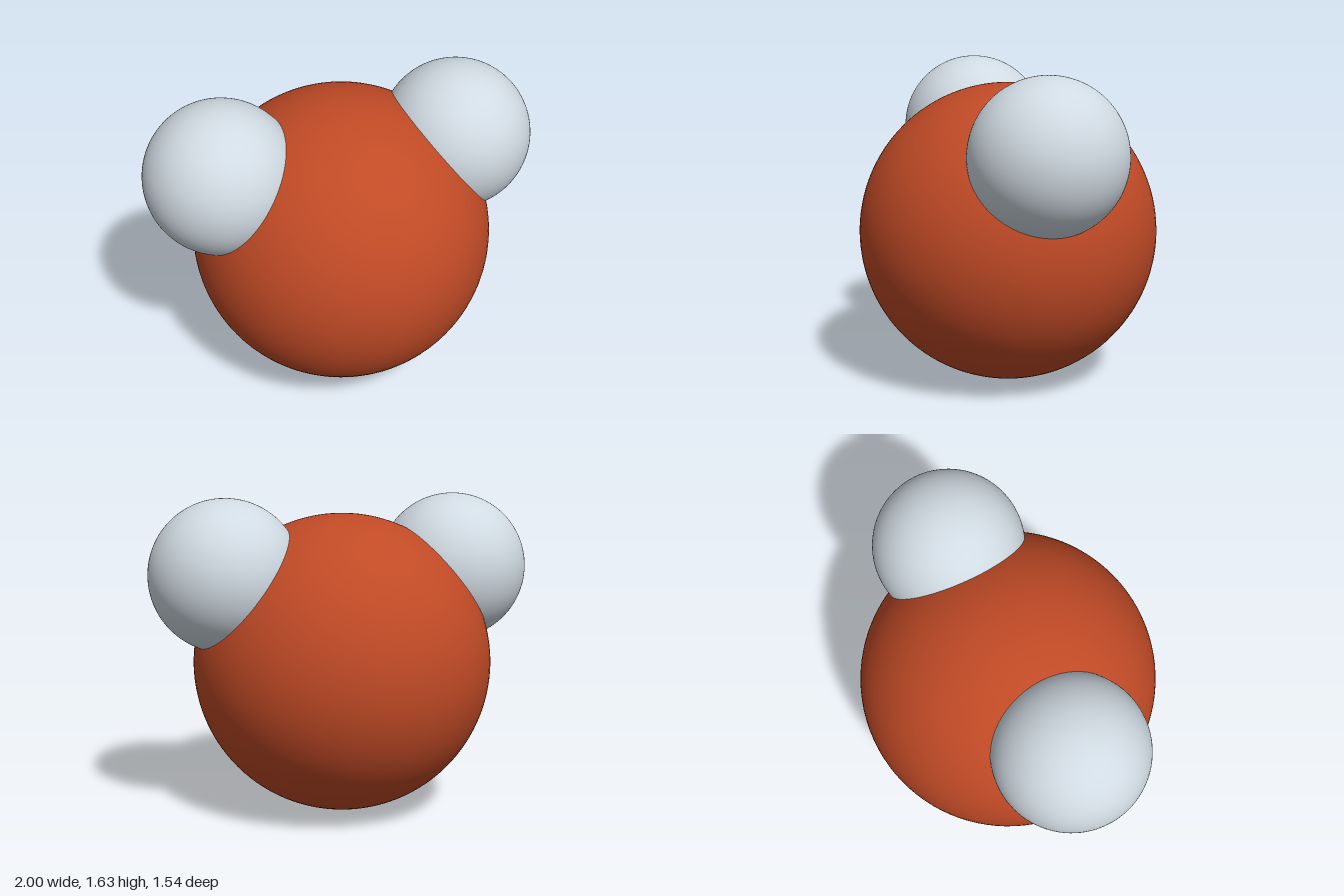
import * as THREE from 'three';

export function createModel() {
  const model = new THREE.Group();
  model.name = 'waterMolecule';

  const addAtom = (name, radius, x, y, color) => {
    const atom = new THREE.Mesh(
      new THREE.SphereGeometry(radius, 96, 64),
      new THREE.MeshStandardMaterial({ color })
    );
    atom.name = name;
    atom.position.set(x, y, 0);
    model.add(atom);
  };

  // Large central atom resting on the ground
  const oxygenRadius = 0.77;
  addAtom('oxygenAtom', oxygenRadius, 0, oxygenRadius, 0xc04a26);

  // Two small atoms, 104.5 degrees apart around the centre
  const bondLength = 0.778;
  const halfAngle = THREE.MathUtils.degToRad(104.5 / 2);
  for (const [name, side] of [['leftHydrogenAtom', 1], ['rightHydrogenAtom', -1]]) {
    addAtom(
      name,
      0.385,
      side * bondLength * Math.sin(halfAngle),
      oxygenRadius + bondLength * Math.cos(halfAngle),
      0xd0dae2
    );
  }

  return model;
}
